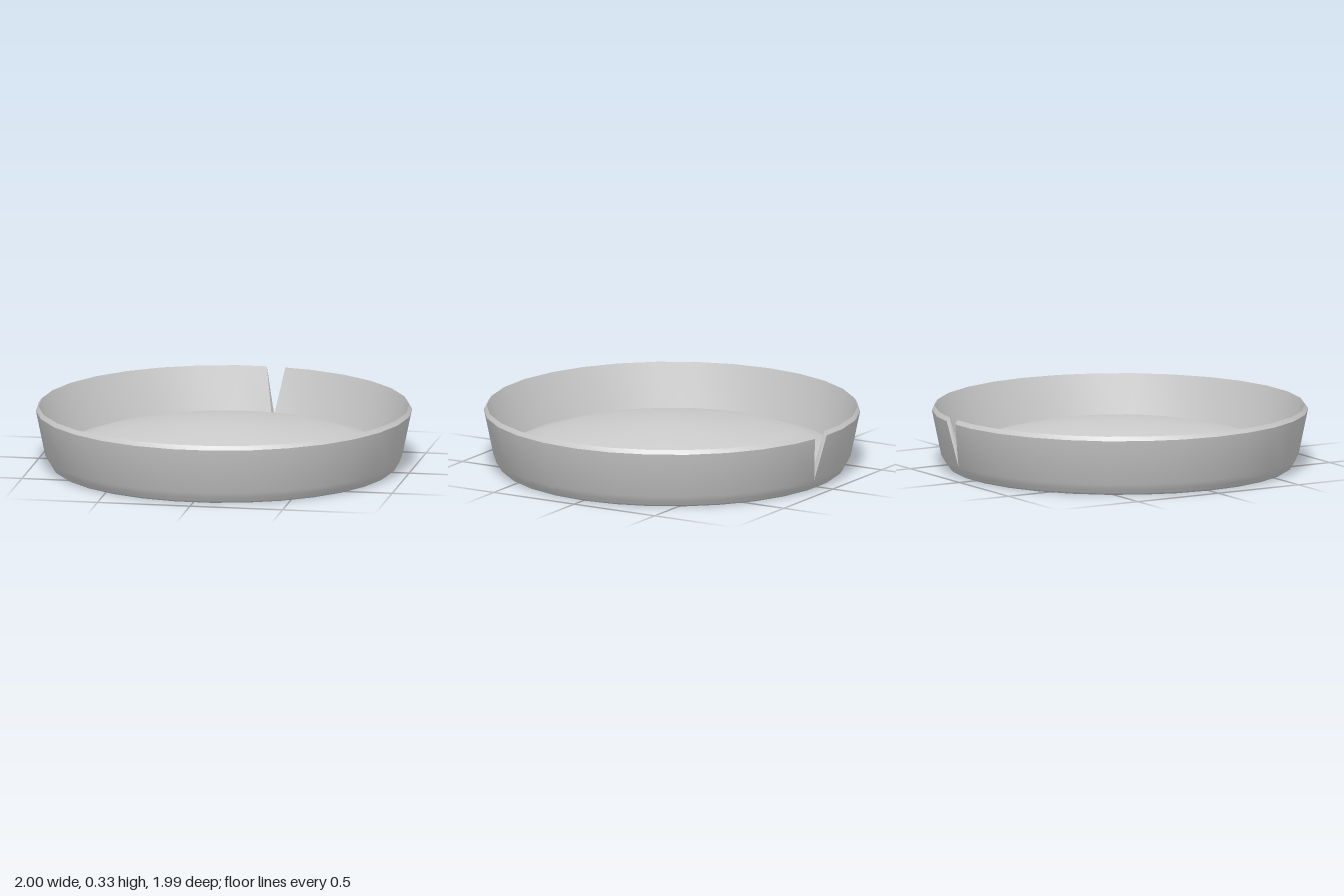
import * as THREE from 'three';
import { toCreasedNormals } from 'three/addons/utils/BufferGeometryUtils.js';

const SIDES = 30;
const NOTCH_ANGLE = THREE.MathUtils.degToRad(174); // a corner at the back, just left of centre
const NOTCH_SPREAD = 0.25; // share of one side cut away on each side of the notch

// Cross-section: underside, outer wall, bevelled rim, inner wall, domed floor
const PROFILE = [
  [0, 0], [0.905, 0], [0.918, 0.009], [0.931, 0.03], [0.95, 0.062],
  [1, 0.305], [0.985, 0.327],
  [0.911, 0.04], [0.885, 0.075], [0.85, 0.098], [0.7, 0.145], [0.5, 0.19], [0.25, 0.23], [0, 0.25],
].map(([r, y]) => new THREE.Vector2(r, y));
const TIP_OUT = 4, RIM_OUT = 5, RIM_IN = 6, TIP_IN = 7;

export function createModel() {
  const model = new THREE.Group();
  const material = new THREE.MeshStandardMaterial({ color: 0xcccccc });

  // The lathe seam sits on the notch, so the seam's rim points can be pulled apart
  const lathe = new THREE.LatheGeometry(PROFILE, SIDES, NOTCH_ANGLE, Math.PI * 2);
  const pos = lathe.attributes.position;
  const point = (column, i) =>
    new THREE.Vector3().fromBufferAttribute(pos, column * PROFILE.length + i);
  for (const [column, neighbour] of [[0, 1], [SIDES, SIDES - 1]]) {
    for (const i of [RIM_OUT, RIM_IN]) {
      const p = point(column, i).lerp(point(neighbour, i), NOTCH_SPREAD);
      pos.setXYZ(column * PROFILE.length + i, p.x, p.y, p.z);
    }
  }

  // Two cut faces that close the wall thickness inside the notch
  const face = [TIP_OUT, RIM_OUT, RIM_IN, TIP_OUT, RIM_IN, TIP_IN];
  const corners = [
    ...face.map((i) => point(0, i)),
    ...face.slice().reverse().map((i) => point(SIDES, i)),
  ];
  const cut = new THREE.BufferGeometry().setFromPoints(corners);
  cut.computeVertexNormals();

  const dish = new THREE.Mesh(toCreasedNormals(lathe, 0.4), material);
  dish.name = 'dish';
  const notch = new THREE.Mesh(cut, material);
  notch.name = 'notchFaces';
  model.add(dish, notch);
  return model;
}
